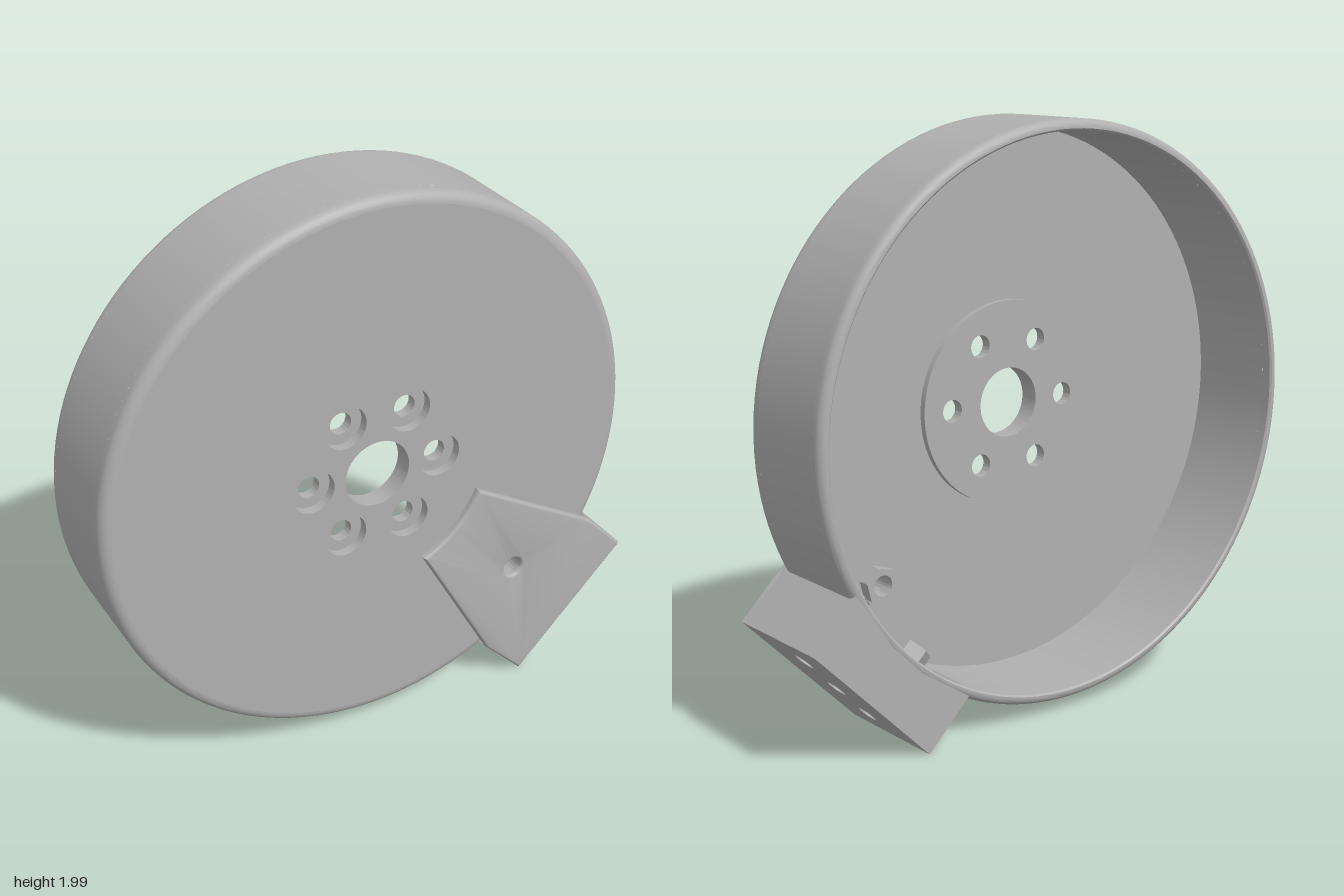
import * as THREE from 'three';
import { toCreasedNormals } from 'three/addons/utils/BufferGeometryUtils.js';

const R = 0.975, RI = 0.938;          // drum outer and inner radius
const FRONT = 0.205, FLOOR = 0.155, BACK = -0.205;
const HALF = 0.297, TIP = 1.14;       // bracket half width and outer radius
const SCREW = 0.036, SCREW_R = 0.77;  // screw hole radius, front screw distance

export function createModel() {
  const grey = new THREE.MeshStandardMaterial({ color: 0xb0b0b0 });
  grey.name = 'grey';
  const model = new THREE.Group();
  model.name = 'drumWithBracket';

  const add = (parent, name, geo) => {
    const mesh = new THREE.Mesh(toCreasedNormals(geo, 0.5), grey);
    mesh.name = name;
    parent.add(mesh);
    return mesh;
  };
  const hole = (shape, x, y, r) => shape.holes.push(new THREE.Path().absarc(x, y, r, 0, Math.PI * 2, true));
  const disc = (r) => new THREE.Shape().absarc(0, 0, r, 0, Math.PI * 2, false);
  const extrude = (shape, z0, z1, segs = 24) =>
    new THREE.ExtrudeGeometry(shape, { depth: z1 - z0, bevelEnabled: false, curveSegments: segs }).translate(0, 0, z0);
  const lathe = (pts, gap = 0) =>
    new THREE.LatheGeometry(pts.map(([r, z]) => new THREE.Vector2(r, z)), 128, Math.PI / 4 + gap, Math.PI * 2 - 2 * gap)
      .rotateX(Math.PI / 2);
  // quarter-round profile points from angle a0 to a1
  const fillet = (r, z, rad, a0, a1) => Array.from({ length: 7 }, (_, i) => {
    const a = a0 + (a1 - a0) * i / 6;
    return [r + rad * Math.cos(a), z + rad * Math.sin(a)];
  });

  const drum = new THREE.Group();
  drum.name = 'drum';
  drum.position.set(-0.025, 1.015, -0.015);
  drum.rotation.y = -0.031;
  model.add(drum);

  // Rounded rims and the wall, which is open behind the bracket
  const rf = R - RI;
  add(drum, 'frontRim', lathe([[R, 0.15], ...fillet(RI, FRONT - rf, rf, 0, Math.PI / 2)]));
  add(drum, 'backRim', lathe([[RI, -0.165], [RI, BACK + 0.006], [RI + 0.006, BACK],
    ...fillet(R - 0.028, BACK + 0.028, 0.028, -Math.PI / 2, 0), [R, -0.165]]));
  add(drum, 'outerWall', lathe([[R, -0.165], [R, 0.15]], 0.3));
  add(drum, 'innerWall', lathe([[RI, FLOOR + 0.005], [RI, -0.165]], 0.31));

  // Front disc with counterbores, and the hub behind it with bolt holes
  const face = disc(RI), hub = disc(0.353);
  for (let i = 0; i < 6; i++) {
    const x = 0.238 * Math.cos(i * Math.PI / 3), y = 0.238 * Math.sin(i * Math.PI / 3);
    hole(face, x, y, 0.077);
    hole(hub, x, y, 0.039);
  }
  for (const s of [face, hub]) hole(s, 0, 0, 0.12);
  hole(face, SCREW_R * Math.SQRT1_2, -SCREW_R * Math.SQRT1_2, SCREW);
  add(drum, 'frontDisc', extrude(face, FLOOR, FRONT, 64));
  add(drum, 'hub', extrude(hub, 0.132, 0.17, 48));

  // Bracket: x runs outward from the drum centre, y along its width
  const bracket = new THREE.Group();
  bracket.name = 'bracket';
  bracket.rotation.z = -Math.PI / 4;
  drum.add(bracket);

  const inner = Math.atan2(0.15, 0.398), arcR = Math.hypot(0.15, 0.398);
  const plate = new THREE.Shape();
  plate.moveTo(0.398, -0.15);
  plate.lineTo(0.933, -HALF);
  plate.lineTo(TIP, -HALF);
  plate.lineTo(TIP, HALF);
  plate.lineTo(0.933, HALF);
  plate.lineTo(0.398, 0.15);
  plate.absarc(0, 0, arcR, inner, -inner, true);
  hole(plate, SCREW_R, 0, SCREW);
  const bevel = 0.012;
  add(bracket, 'bracketPlate', new THREE.ExtrudeGeometry(plate, {
    depth: 0.016, bevelEnabled: true, bevelThickness: bevel, bevelSize: bevel,
    bevelOffset: -bevel, bevelSegments: 4, curveSegments: 24,
  }).translate(0, 0, 0.192 + bevel));

  // Column with a radial hole; its inner face follows a cylinder of radius r0
  const column = (name, t0, t1, holeT, z0, z1, r0, r1) => {
    const s = new THREE.Shape();
    s.moveTo(t0, z0);
    s.lineTo(t1, z0);
    s.lineTo(t1, z1);
    s.lineTo(t0, z1);
    s.closePath();
    hole(s, holeT, 0, SCREW);
    const geo = extrude(s, 0, 1), p = geo.attributes.position;
    for (let i = 0; i < p.count; i++) {
      const t = p.getX(i), z = p.getY(i);
      p.setXYZ(i, p.getZ(i) > 0.5 ? r1 : Math.sqrt(r0 * r0 - t * t), t, z);
    }
    add(bracket, name, geo);
  };
  for (const [t0, t1, t] of [[-HALF, -0.085, -0.165], [-0.085, 0.085, 0], [0.085, HALF, 0.165]]) {
    column('bracketBlock', t0, t1, t, -0.215, 0.21, 0.962, TIP);
    column('wallPanel', t0, t1, t, -0.168, 0.165, RI, 0.975);
  }

  // Hexagonal nuts inside the drum
  const hex = new THREE.Shape(Array.from({ length: 6 }, (_, i) =>
    new THREE.Vector2(0.065 * Math.cos(i * Math.PI / 3), 0.065 * Math.sin(i * Math.PI / 3))));
  hole(hex, 0, 0, SCREW);
  add(bracket, 'floorNut', extrude(hex, 0.11, 0.16)).position.x = SCREW_R;
  for (const t of [-0.165, 0.165]) {
    const nut = add(bracket, 'wallNut', extrude(hex, 0.87, 0.935).rotateY(Math.PI / 2));
    nut.position.y = t;
  }
  return model;
}
